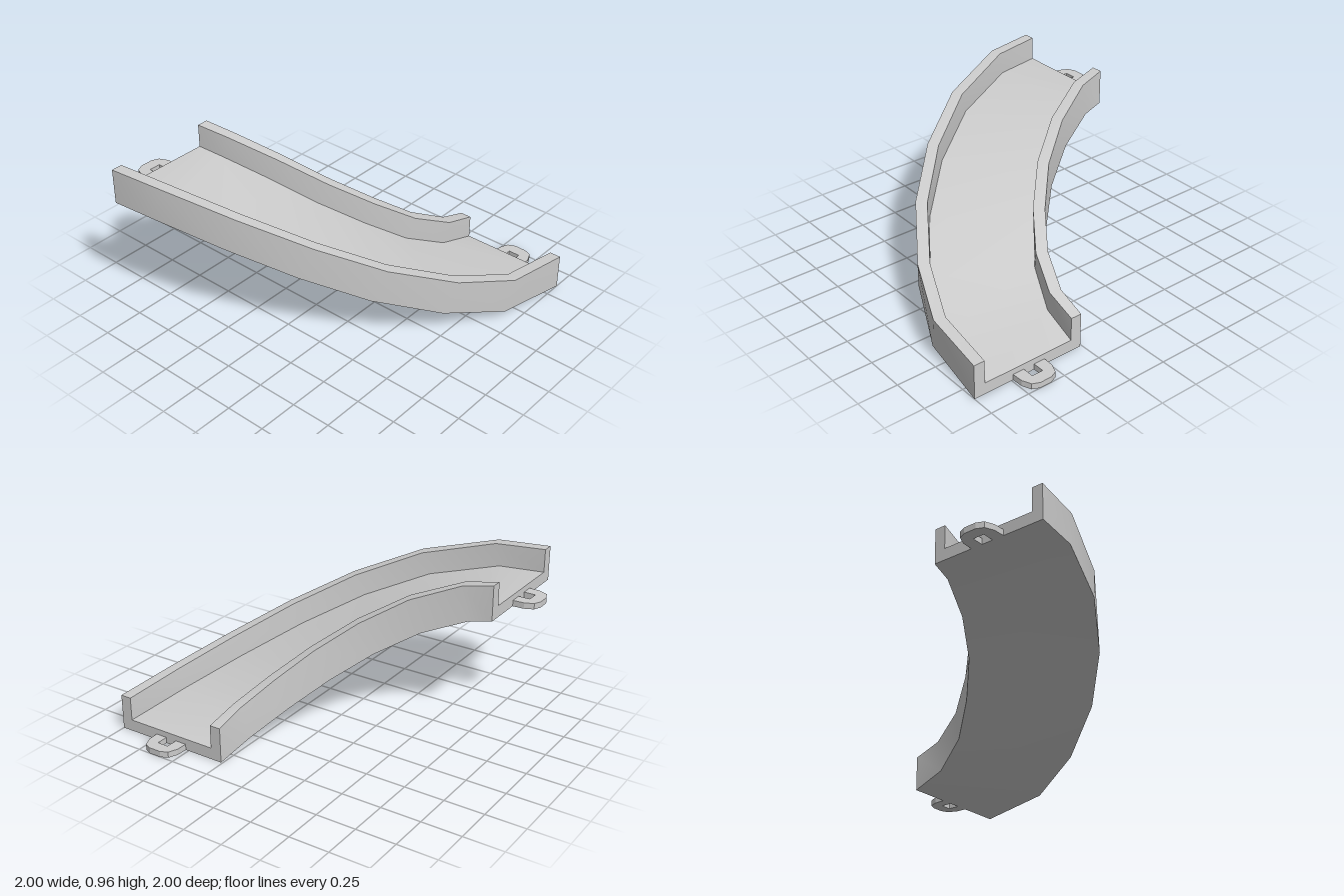
import * as THREE from 'three';

const C = -0.855; // x and z of the bend's centre
// stations down the slide: [angle, radius, height] of the inner, then outer bottom edge
const stations = [
  [0, 1.115, 0.743, 0, 1.855, 0.743],
  [7.4, 1.096, 0.718, 8.8, 1.845, 0.736],
  [21.7, 1.058, 0.62, 22.6, 1.822, 0.642],
  [36.4, 1.047, 0.48, 35.6, 1.808, 0.497],
  [50.8, 1.05, 0.33, 48.5, 1.808, 0.33],
  [64.1, 1.08, 0.183, 62.2, 1.822, 0.166],
  [77.8, 1.106, 0.064, 75.3, 1.85, 0.045],
  [90, 1.115, 0, 90, 1.855, 0],
];
const WALL = 0.07, FLOOR = 0.073, HEIGHT = 0.22;

function polar(deg, r, y) {
  const a = THREE.MathUtils.degToRad(deg);
  return new THREE.Vector3(C + r * Math.sin(a), y, C + r * Math.cos(a));
}

// U-shaped cross-section at each station, square to the path
function crossSections() {
  const inner = stations.map(s => polar(s[0], s[1], s[2]));
  const outer = stations.map(s => polar(s[3], s[4], s[5]));
  const mid = inner.map((p, i) => p.clone().add(outer[i]).multiplyScalar(0.5));
  const last = mid.length - 1;
  return mid.map((m, i) => {
    const across = outer[i].clone().sub(inner[i]);
    const w = across.length();
    across.normalize();
    const along = i === 0 ? new THREE.Vector3(1, 0, 0)
      : i === last ? new THREE.Vector3(0, 0, -1)
      : mid[i + 1].clone().sub(mid[i - 1]).normalize();
    const up = across.clone().cross(along).normalize();
    const outline = [[0, 0], [w, 0], [w, HEIGHT], [w - WALL, HEIGHT], [w - WALL, FLOOR],
      [WALL, FLOOR], [WALL, HEIGHT], [0, HEIGHT]];
    return outline.map(([s, h]) =>
      inner[i].clone().addScaledVector(across, s).addScaledVector(up, h));
  });
}

function channelGeometry() {
  const rings = crossSections();
  const pos = [], idx = [];
  const add = p => pos.push(p.x, p.y, p.z) / 3 - 1;
  const n = rings[0].length;
  // one strip per side: smooth lengthwise, sharp between sides
  for (let k = 0; k < n; k++) {
    const pairs = rings.map(r => [add(r[k]), add(r[(k + 1) % n])]);
    for (let i = 0; i < pairs.length - 1; i++) {
      const [p, q] = pairs[i], [p2, q2] = pairs[i + 1];
      idx.push(p, p2, q, p2, q2, q);
    }
  }
  // end caps: floor and two walls
  const quads = [[0, 1, 4, 5], [1, 2, 3, 4], [0, 5, 6, 7]];
  [rings[0], rings[rings.length - 1]].forEach((ring, end) => {
    const v = ring.map(add);
    for (const [a, b, c, d] of quads) {
      if (end === 0) idx.push(v[a], v[b], v[c], v[a], v[c], v[d]);
      else idx.push(v[a], v[c], v[b], v[a], v[d], v[c]);
    }
  });
  const g = new THREE.BufferGeometry();
  g.setAttribute('position', new THREE.Float32BufferAttribute(pos, 3));
  g.setIndex(idx);
  g.computeVertexNormals();
  return g;
}

// flat loop with a rectangular opening, pointing to -z
function loopGeometry() {
  const half = [[0.11, 0], [0.107, 0.07], [0.083, 0.125], [0.038, 0.145]];
  const pts = [...half, ...half.map(([x, y]) => [-x, y]).reverse(),
    [-0.036, 0], [-0.036, 0.073], [0.036, 0.073], [0.036, 0]];
  const shape = new THREE.Shape(pts.map(([x, y]) => new THREE.Vector2(x, y)));
  const g = new THREE.ExtrudeGeometry(shape, { depth: 0.037, bevelEnabled: false });
  return g.rotateX(-Math.PI / 2);
}

export function createModel() {
  const group = new THREE.Group();
  group.name = 'curvedRamp';
  const mat = new THREE.MeshStandardMaterial({ color: 0xcccccc });

  const channel = new THREE.Mesh(channelGeometry(), mat);
  channel.name = 'channel';
  group.add(channel);

  const loop = loopGeometry();
  const lower = new THREE.Mesh(loop, mat);
  lower.name = 'lowerConnector';
  lower.position.set(0.63, 0, C);
  const upper = new THREE.Mesh(loop, mat);
  upper.name = 'upperConnector';
  upper.position.set(C, 0.743, 0.63);
  upper.rotation.y = Math.PI / 2;
  group.add(lower, upper);
  return group;
}
